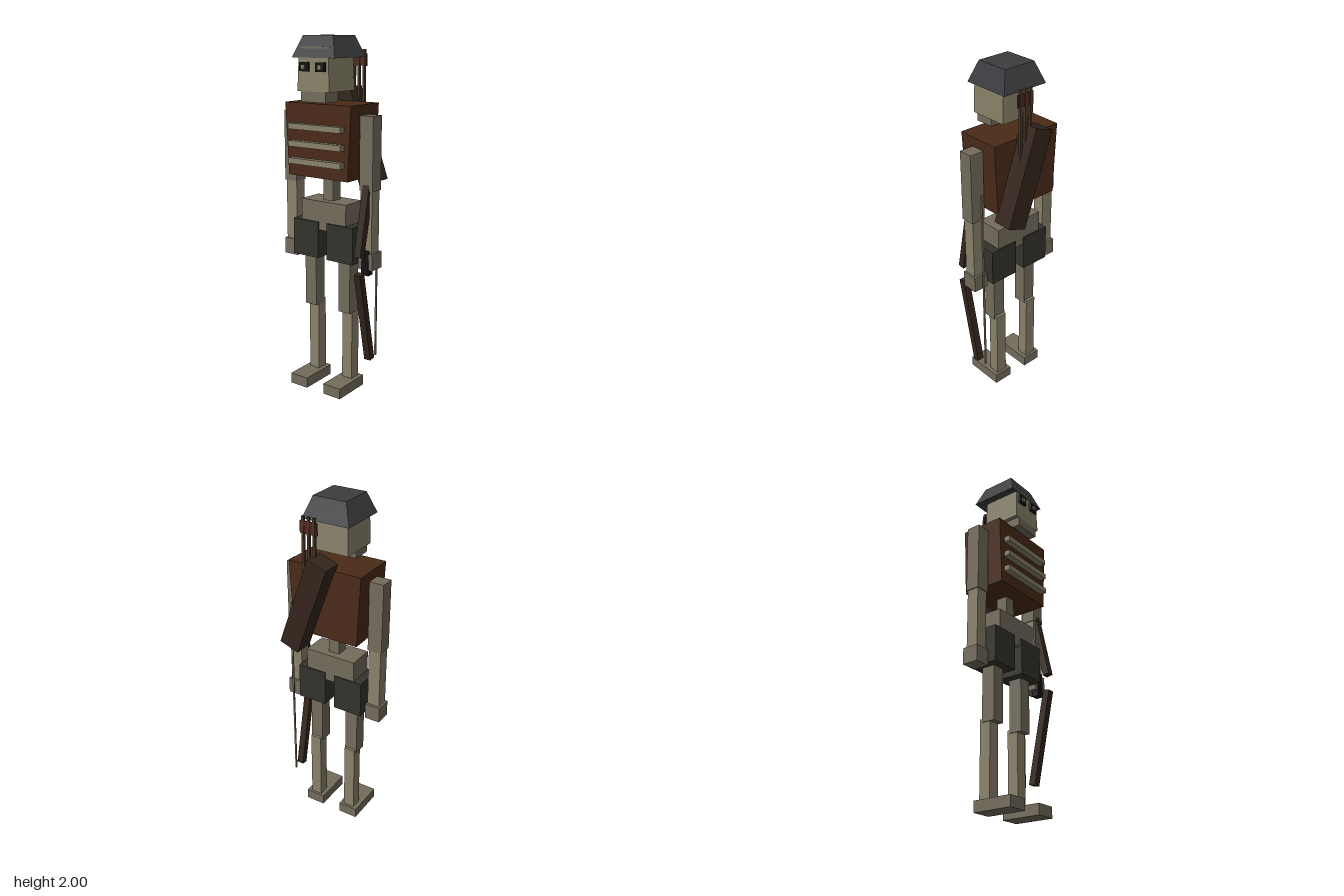
import * as THREE from 'three';

const mat = (color) => new THREE.MeshStandardMaterial({ color, flatShading: true });
const BONE = mat(0x888169), BONE_DARK = mat(0x736c5c), LEATHER = mat(0x4a2a18);
const CLOTH = mat(0x33322b), IRON = mat(0x3c3c40), WOOD = mat(0x33251c);
const BLACK = mat(0x14110f), RED = mat(0x552020), SHAFT = mat(0x4a3728);

export function createModel() {
  const model = new THREE.Group();

  // Box given by its extents; the top face can be scaled in x and z
  function box(name, material, [x0, x1], [y0, y1], [z0, z1], topX = 1, topZ = 1, parent = model) {
    const g = new THREE.BoxGeometry(x1 - x0, y1 - y0, z1 - z0);
    const p = g.attributes.position;
    for (let i = 0; i < p.count; i++) {
      if (p.getY(i) > 0) p.setXYZ(i, p.getX(i) * topX, p.getY(i), p.getZ(i) * topZ);
    }
    g.computeVertexNormals();
    const m = new THREE.Mesh(g, material);
    m.name = name;
    m.position.set((x0 + x1) / 2, (y0 + y1) / 2, (z0 + z1) / 2);
    parent.add(m);
    return m;
  }

  // Head, jaw and helmet
  box('head', BONE, [-0.105, 0.105], [1.71, 1.89], [-0.04, 0.19], 0.94, 0.96);
  box('jaw', BONE_DARK, [-0.082, 0.082], [1.655, 1.71], [0.08, 0.19]);
  box('helmet', IRON, [-0.141, 0.141], [1.885, 2], [-0.093, 0.19], 0.695, 0.695);
  box('helmetBand', BONE_DARK, [-0.096, 0.096], [1.932, 1.941], [0.15, 0.173]);

  // Torso with ribs, spine and pelvis
  box('torso', LEATHER, [-0.2, 0.2], [1.245, 1.645], [-0.104, 0.155], 1.1, 1);
  for (const y of [1.33, 1.425, 1.52]) {
    box('rib', BONE, [-0.176, 0.176], [y - 0.016, y + 0.016], [0.14, 0.19]);
  }
  box('spine', BONE_DARK, [-0.034, 0.034], [1.08, 1.26], [-0.008, 0.06]);
  box('pelvis', BONE_DARK, [-0.153, 0.153], [0.94, 1.105], [-0.05, 0.105]);

  // Paired parts
  for (const s of [-1, 1]) {
    const side = s > 0 ? 'left' : 'right';
    const pair = (name, material, a, b, y, z) =>
      box(side + name, material, s > 0 ? [a, b] : [-b, -a], y, z);
    pair('EyeSocket', BLACK, 0.024, 0.083, [1.815, 1.862], [0.17, 0.202]);
    pair('Eye', BONE, 0.042, 0.066, [1.826, 1.85], [0.19, 0.209]);
    pair('UpperArm', BONE_DARK, 0.217, 0.301, [1.19, 1.59], [-0.012, 0.07]);
    pair('Forearm', BONE, 0.222, 0.295, [0.84, 1.19], [-0.007, 0.064]);
    pair('Hand', BONE_DARK, 0.215, 0.306, [0.752, 0.845], [-0.021, 0.073]);
    pair('ShortsLeg', CLOTH, 0.03, 0.205, [0.777, 0.986], [-0.057, 0.115]);
    pair('Thigh', BONE_DARK, 0.08, 0.157, [0.47, 0.8], [-0.01, 0.07]);
    pair('Shin', BONE, 0.085, 0.152, [0.05, 0.49], [-0.026, 0.04]);
    pair('Foot', BONE_DARK, 0.06, 0.177, [0, 0.061], [-0.041, 0.19]);
  }

  // Bow held in the left hand: grip, two swept limbs and the string
  const bow = new THREE.Group();
  bow.name = 'bow';
  model.add(bow);
  box('bowGrip', BLACK, [0.237, 0.283], [0.72, 0.86], [0.033, 0.075], 1, 1, bow);
  for (const s of [-1, 1]) {
    const limb = box('bowLimb', WOOD, [0.239, 0.28], [-0.27, 0.27], [-0.02, 0.02], 1, 1, bow);
    limb.position.set(0.26, 0.789 + s * 0.312, 0.075);
    limb.rotation.x = -s * 0.205;
  }
  box('bowString', BONE, [0.255, 0.264], [0.21, 1.365], [-0.047, -0.038], 1, 1, bow);

  // Slanted quiver on the back with three upright arrows
  const quiver = box('quiver', WOOD, [-0.0595, 0.0595], [-0.2735, 0.2735], [-0.21, -0.095]);
  quiver.position.set(0.069, 1.447, -0.1525);
  quiver.rotation.z = 0.345;
  for (const x of [0.024, 0.057, 0.09]) {
    box('arrowShaft', SHAFT, [x - 0.007, x + 0.007], [1.54, 1.925], [-0.16, -0.145]);
    box('arrowFletching', RED, [x - 0.018, x + 0.018], [1.835, 1.9], [-0.157, -0.148]);
  }
  return model;
}
